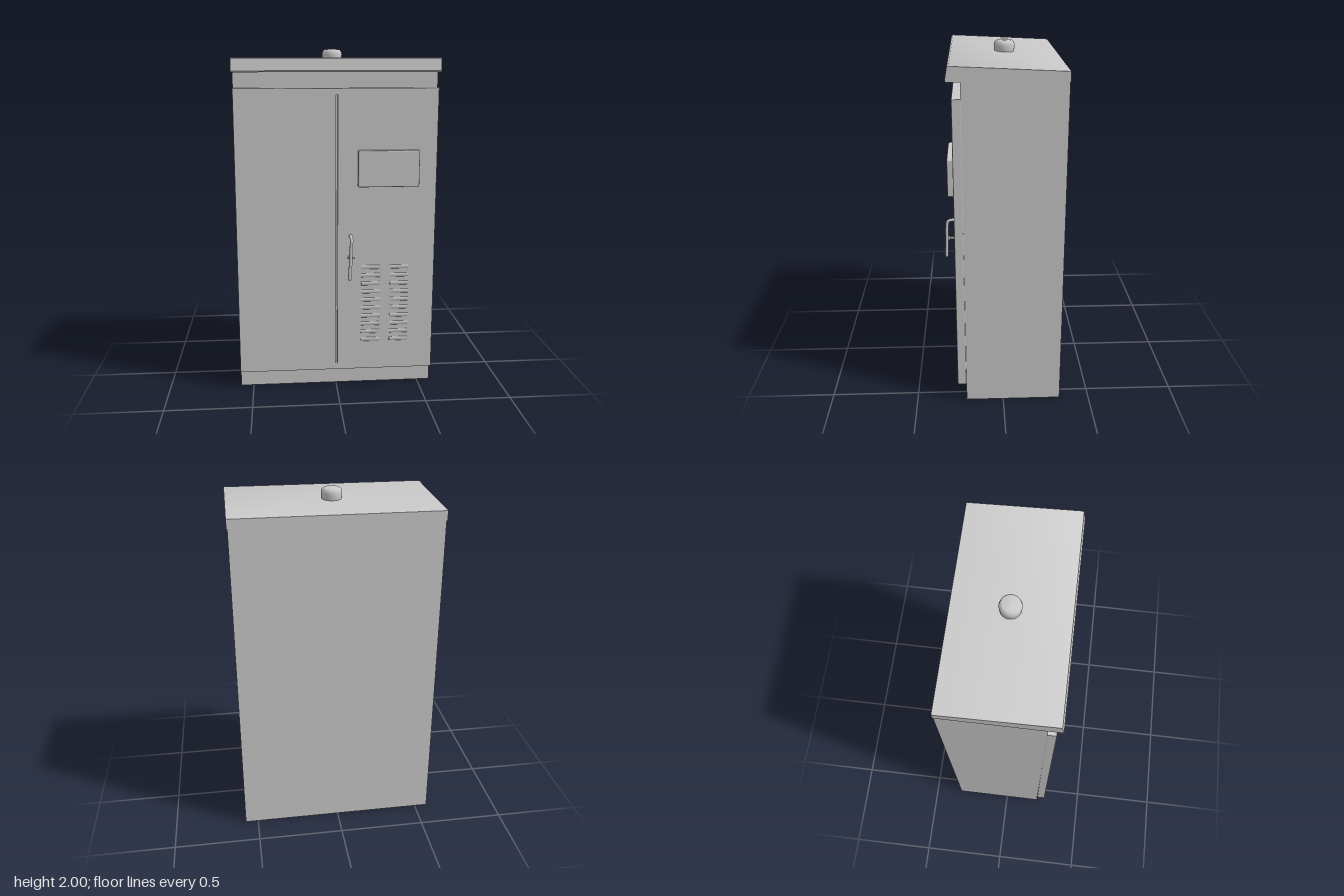
import * as THREE from 'three';
import { RoundedBoxGeometry } from 'three/addons/geometries/RoundedBoxGeometry.js';
import { toCreasedNormals } from 'three/addons/utils/BufferGeometryUtils.js';

const material = new THREE.MeshStandardMaterial({ color: 0xcccccc });

function add(parent, name, geometry, x = 0, y = 0, z = 0) {
  const mesh = new THREE.Mesh(geometry, material);
  mesh.name = name;
  mesh.position.set(x, y, z);
  parent.add(mesh);
  return mesh;
}

// Extrudes a side profile of [z, y] points across the width, centred on x = 0
function sideExtrude(points, width) {
  const shape = new THREE.Shape(points.map(([z, y]) => new THREE.Vector2(z, y)));
  const geometry = new THREE.ExtrudeGeometry(shape, { depth: width, bevelEnabled: false });
  geometry.translate(0, 0, -width / 2);
  geometry.rotateY(-Math.PI / 2);
  return toCreasedNormals(geometry, 0.6);
}

function rectangle(PathType, x0, y0, x1, y1) {
  return new PathType([[x0, y0], [x1, y0], [x1, y1], [x0, y1]].map(([x, y]) => new THREE.Vector2(x, y)));
}

function tube(points, radius) {
  const curve = new THREE.CatmullRomCurve3(points.map((p) => new THREE.Vector3(...p)), false, 'centripetal');
  return new THREE.TubeGeometry(curve, 32, radius, 10);
}

export function createModel() {
  const cabinet = new THREE.Group();
  cabinet.name = 'cabinet';

  // Body with its plinth and recessed neck
  add(cabinet, 'body', sideExtrude([
    [-0.33, 0.005], [0.213, 0.005], [0.217, 1.88], [0.217, 1.94], [-0.33, 1.915],
  ], 1.152));

  // Sloped roof with a drip lip overhanging the front
  add(cabinet, 'roof', sideExtrude([
    [-0.332, 1.87], [0.2, 1.87], [0.23, 1.872], [0.288, 1.872], [0.293, 1.88],
    [0.282, 1.945], [0.272, 1.951], [-0.332, 1.922],
  ], 1.162));

  // Door front with the narrow slot between the two leaves
  const doors = rectangle(THREE.Shape, -0.573, 0.115, 0.573, 1.782);
  doors.holes.push(rectangle(THREE.Path, -0.008, 0.15, 0.008, 1.75));
  add(cabinet, 'doors', new THREE.ExtrudeGeometry(doors, {
    depth: 0.04, bevelThickness: 0.005, bevelSize: 0.003, bevelSegments: 2,
  }), 0, 0, 0.219);
  add(cabinet, 'slotBack', new THREE.BoxGeometry(0.03, 1.62, 0.03), 0, 0.95, 0.232);

  // Display box on the door on the model's left
  add(cabinet, 'displayPanel', new RoundedBoxGeometry(0.35, 0.208, 0.05, 2, 0.006), 0.295, 1.335, 0.273);

  // Shallow louvres in two columns
  const louvres = new THREE.Group();
  louvres.name = 'louvres';
  cabinet.add(louvres);
  for (const x of [0.2, 0.37]) {
    for (let i = 0; i < 10; i++) {
      const slat = add(louvres, 'louvre', new THREE.CylinderGeometry(0.012, 0.012, 0.11, 10), x, 0.3 + i * 0.05, 0.263);
      slat.rotation.z = Math.PI / 2;
      slat.scale.x = 1;
      slat.scale.z = 0.4;
    }
  }

  // Bent lever handle with a stay and a cross pin
  const handle = new THREE.Group();
  handle.name = 'handle';
  cabinet.add(handle);
  add(handle, 'lever', tube([
    [0.08, 0.94, 0.255], [0.081, 0.94, 0.295], [0.081, 0.93, 0.314],
    [0.08, 0.9, 0.32], [0.076, 0.8, 0.323], [0.07, 0.7, 0.327],
  ], 0.01));
  add(handle, 'leverTip', new THREE.SphereGeometry(0.01, 10, 8), 0.07, 0.7, 0.327);
  const stay = add(handle, 'stay', new THREE.CylinderGeometry(0.007, 0.007, 0.065, 10), 0.076, 0.82, 0.29);
  stay.rotation.x = Math.PI / 2;
  const pin = add(handle, 'crossPin', new THREE.CylinderGeometry(0.006, 0.006, 0.046, 10), 0.078, 0.82, 0.308);
  pin.rotation.z = Math.PI / 2;

  // Rounded cap on the roof
  const capProfile = [[0.054, 1.925], [0.057, 1.945], [0.059, 1.97], [0.054, 1.988], [0.042, 1.997], [0, 2]]
    .map(([r, y]) => new THREE.Vector2(r, y));
  add(cabinet, 'roofCap', new THREE.LatheGeometry(capProfile, 32), -0.005, 0, -0.028);

  return cabinet;
}
